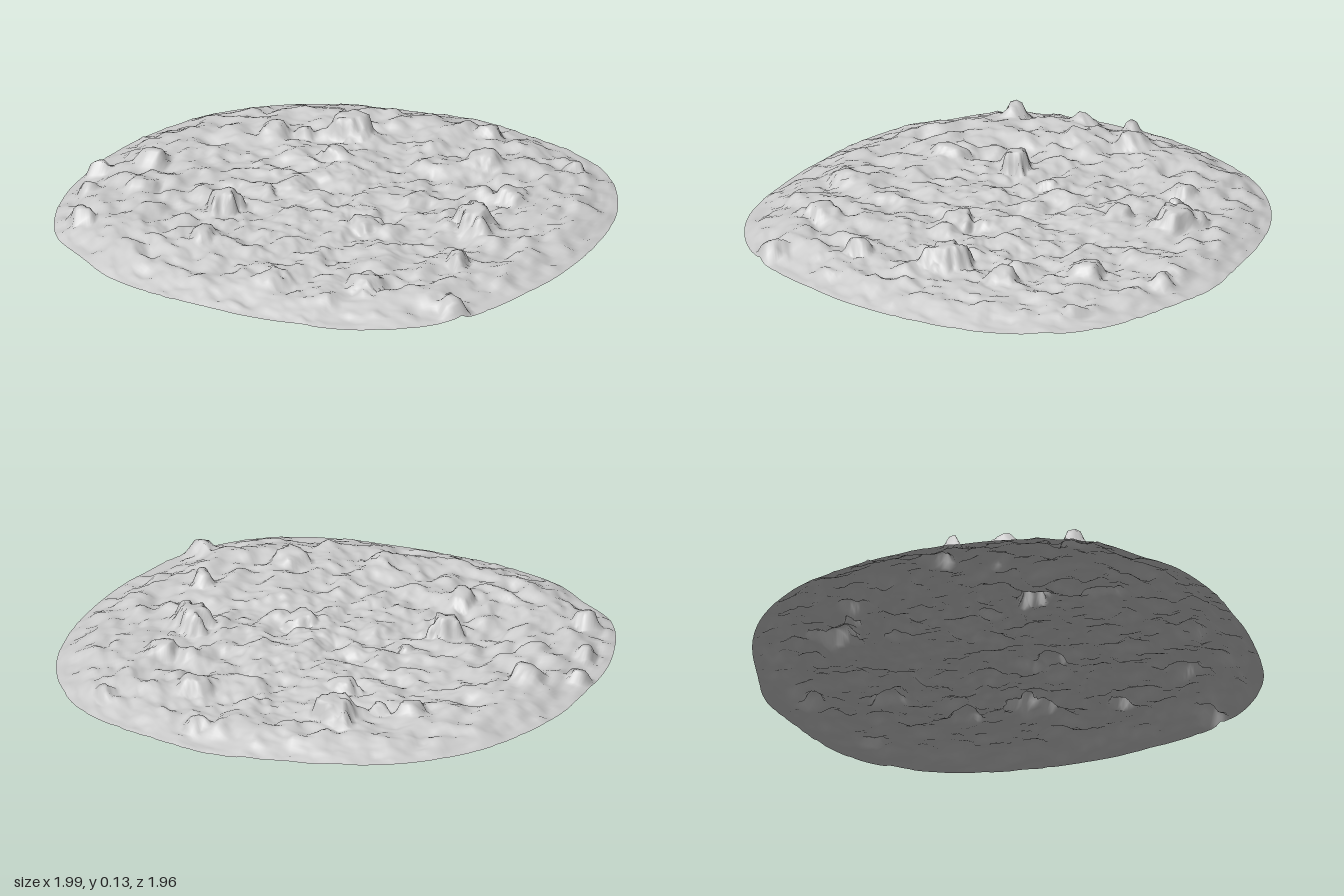
import * as THREE from 'three';

// Outline of the patch, x and z pairs
const OUTLINE = [
  1, 0, 0.985, 0.2, 0.95, 0.4, 0.87, 0.57, 0.77, 0.69, 0.62, 0.8, 0.44, 0.87, 0.22, 0.93, 0.08, 0.95,
  -0.13, 0.975, -0.38, 0.955, -0.55, 0.88, -0.72, 0.8, -0.83, 0.67, -0.93, 0.45, -0.97, 0.25, -0.99, 0.05,
  -0.98, -0.1, -0.95, -0.25, -0.9, -0.4, -0.79, -0.57, -0.67, -0.69, -0.5, -0.8, -0.26, -0.9, -0.04, -0.975,
  0.2, -0.975, 0.4, -0.96, 0.59, -0.9, 0.75, -0.77, 0.87, -0.6, 0.95, -0.38, 0.985, -0.2,
];

// Rocks pushing up through the rubble: x, z, radius, top height
const ROCKS = [
  [-0.33, -0.53, 0.1, 0.14], [0.25, -0.6, 0.08, 0.115], [0.55, -0.15, 0.1, 0.145], [-0.55, -0.35, 0.06, 0.11],
  [-0.45, -0.4, 0.04, 0.1], [-0.23, -0.31, 0.07, 0.11], [0.52, -0.41, 0.07, 0.115], [0.41, -0.39, 0.04, 0.1],
  [-0.78, 0.13, 0.07, 0.12], [-0.92, 0.27, 0.05, 0.08], [-0.66, 0.32, 0.07, 0.1], [-0.31, 0.3, 0.07, 0.14],
  [-0.22, 0.55, 0.07, 0.115], [-0.7, 0.67, 0.06, 0.105], [-0.36, 0.67, 0.05, 0.09], [0.69, 0.16, 0.05, 0.125],
  [0.52, 0.52, 0.09, 0.11], [0.2, 0.69, 0.08, 0.1], [0.22, 0.1, 0.08, 0.1], [0.87, 0.44, 0.07, 0.09],
  [0.1, -0.85, 0.05, 0.085], [-0.26, 0.09, 0.05, 0.09], [0.53, -0.8, 0.05, 0.08], [-0.84, 0.44, 0.05, 0.085],
];

// Repeatable value noise in the range -1 to 1
const hash = (i, j) => {
  let h = Math.imul(i, 374761393) + Math.imul(j, 668265263);
  h = Math.imul(h ^ (h >>> 13), 1274126177);
  return ((h ^ (h >>> 16)) >>> 0) / 2147483648 - 1;
};
function noise(x, z) {
  const i = Math.floor(x), j = Math.floor(z);
  const ease = (t) => t * t * (3 - 2 * t);
  const u = ease(x - i), v = ease(z - j);
  const mix = THREE.MathUtils.lerp;
  return mix(mix(hash(i, j), hash(i + 1, j), u), mix(hash(i, j + 1), hash(i + 1, j + 1), u), v);
}

// Height of the rubble; t runs from 0 at the centre to 1 at the rim
function heightAt(x, z, t) {
  const rim = THREE.MathUtils.smoothstep(1 - t, 0, 0.17);
  let y = 0.008 + 0.045 * rim;
  y += (0.008 + 0.012 * rim) * noise(x * 13 + 40, z * 13 + 7);
  y += 0.009 * noise(x * 27 + 9, z * 27 + 51) + 0.003 * noise(x * 55, z * 55);
  y = Math.max(y, 0.008);
  for (const [rx, rz, r, top] of ROCKS) {
    // Uneven, steep-sided mounds with slanted tops
    const dx = x - rx + 0.25 * r * noise(x * 30, z * 30);
    const dz = z - rz + 0.25 * r * noise(x * 30 + 80, z * 30);
    const turn = rx * 9 + rz * 5;
    const a = dx * Math.cos(turn) + dz * Math.sin(turn);
    const b = dz * Math.cos(turn) - dx * Math.sin(turn);
    const d = Math.hypot(a, b * 1.25) / r;
    if (d > 1.1) continue;
    const crest = top - 0.012 + 0.012 * (a / r) - 0.012 * d;
    y = THREE.MathUtils.lerp(y, Math.max(y, crest), 1 - THREE.MathUtils.smoothstep(d, 0.55, 1.1));
  }
  return y * THREE.MathUtils.smoothstep(1 - t, -0.03, 0.03);
}

export function createModel() {
  const rings = 100, segments = 260;
  const points = [];
  for (let i = 0; i < OUTLINE.length; i += 2) points.push(new THREE.Vector3(OUTLINE[i], 0, OUTLINE[i + 1]));
  const rim = new THREE.CatmullRomCurve3(points, true).getSpacedPoints(segments);

  // Concentric rings, each a smaller copy of the outline
  const positions = [0, heightAt(0, 0, 0), 0];
  const indices = [];
  for (let k = 1; k <= rings; k++) {
    const t = k / rings;
    for (let s = 0; s < segments; s++) {
      const x = rim[s].x * t, z = rim[s].z * t;
      positions.push(x, heightAt(x, z, t), z);
      const next = (s + 1) % segments;
      const outer = 1 + (k - 1) * segments;
      if (k === 1) {
        indices.push(0, outer + next, outer + s);
      } else {
        const inner = outer - segments;
        indices.push(inner + s, inner + next, outer + s, inner + next, outer + next, outer + s);
      }
    }
  }
  const geometry = new THREE.BufferGeometry();
  geometry.setAttribute('position', new THREE.Float32BufferAttribute(positions, 3));
  geometry.setIndex(indices);
  geometry.computeVertexNormals();
  geometry.computeBoundingBox();
  geometry.translate(0, -geometry.boundingBox.min.y, 0);

  const ground = new THREE.Mesh(
    geometry,
    new THREE.MeshStandardMaterial({ color: 0xcccccc, side: THREE.DoubleSide }),
  );
  ground.name = 'rubbleGround';
  const group = new THREE.Group();
  group.name = 'rubblePatch';
  group.add(ground);
  return group;
}
